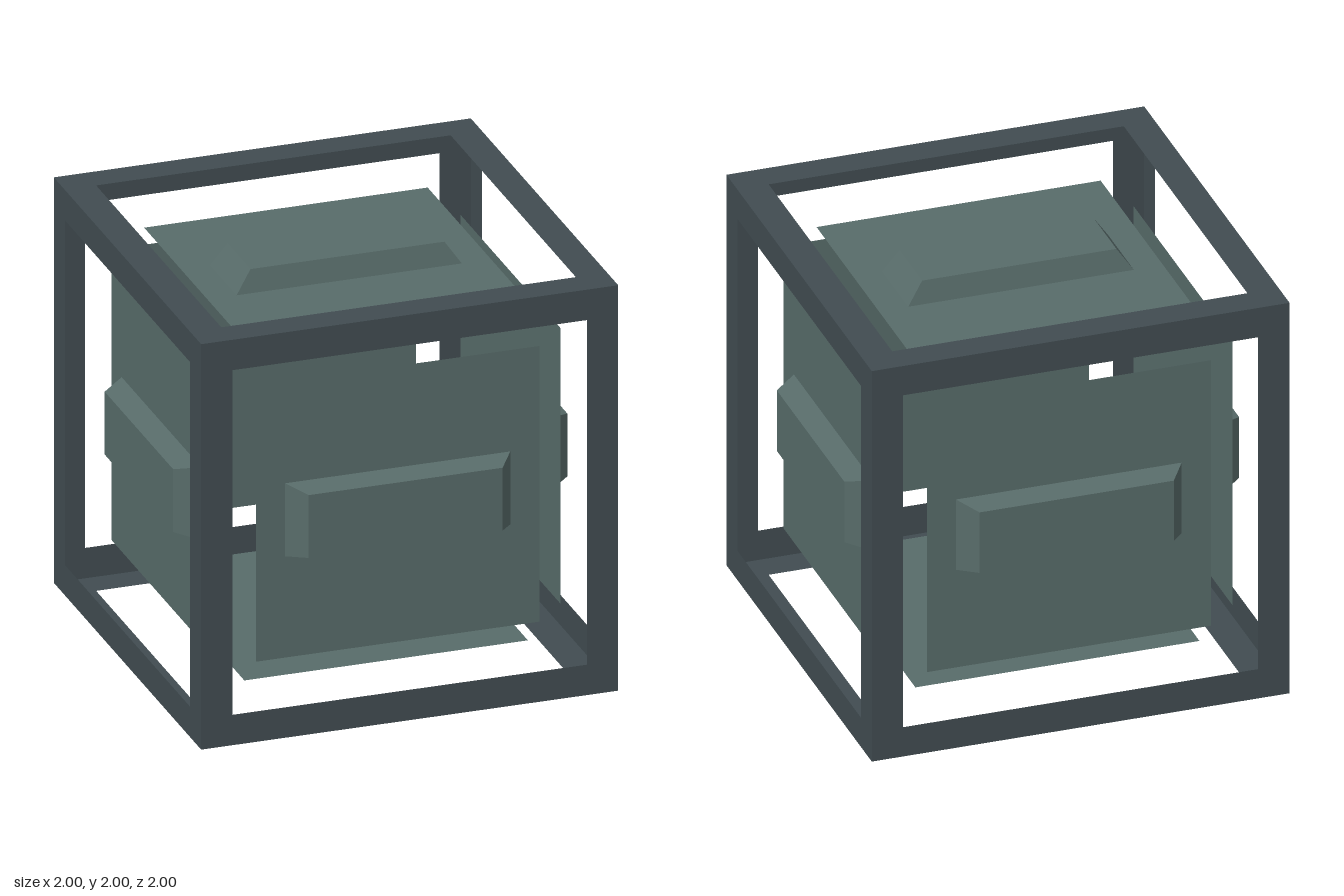
import * as THREE from 'three';

const frameMat = new THREE.MeshStandardMaterial({ color: 0x414c51, side: THREE.DoubleSide });
frameMat.name = 'dark slate frame';
const panelMat = new THREE.MeshStandardMaterial({ color: 0x586c6a, side: THREE.DoubleSide });
panelMat.name = 'grey green panel';

const FRAME = 1, OPENING = 0.85; // half sizes of the frame sheet and its opening
const PANEL = 0.68, PANEL_Z = 0.837; // half size and distance of the inner panels
const RIDGE_TOP = 0.945;

// Flat square border
function frameGeometry() {
  const square = (Path, s) => {
    const p = new Path();
    p.moveTo(-s, -s).lineTo(s, -s).lineTo(s, s).lineTo(-s, s).closePath();
    return p;
  };
  const shape = square(THREE.Shape, FRAME);
  shape.holes.push(square(THREE.Path, OPENING));
  return new THREE.ShapeGeometry(shape).translate(0, 0, FRAME);
}

// Raised bar with sloping sides, open where it meets the panel
function ridgeGeometry() {
  const height = RIDGE_TOP - PANEL_Z;
  const geo = new THREE.BoxGeometry(1.08, 0.36, height);
  const pos = geo.attributes.position;
  for (let i = 0; i < pos.count; i++) {
    if (pos.getZ(i) > 0) pos.setXY(i, Math.sign(pos.getX(i)) * 0.465, Math.sign(pos.getY(i)) * 0.155);
  }
  geo.setIndex(Array.from(geo.index.array).slice(0, 30)); // drop the back face
  geo.clearGroups();
  geo.computeVertexNormals();
  return geo.translate(0, 0, PANEL_Z + height / 2);
}

export function createModel() {
  const model = new THREE.Group();
  model.name = 'framedCube';
  const parts = [
    ['Frame', frameGeometry(), frameMat],
    ['Panel', new THREE.PlaneGeometry(PANEL * 2, PANEL * 2).translate(0, 0, PANEL_Z), panelMat],
    ['Ridge', ridgeGeometry(), panelMat],
  ];
  const q = Math.PI / 2;
  const sides = { front: [0, 0], left: [0, q], back: [0, 2 * q], right: [0, -q], top: [-q, 0], bottom: [q, 0] };

  // The same border, panel and ridge on all six sides
  for (const [name, [rx, ry]] of Object.entries(sides)) {
    const side = new THREE.Group();
    side.name = name + 'Side';
    for (const [part, geometry, material] of parts) {
      const mesh = new THREE.Mesh(geometry, material);
      mesh.name = name + part;
      side.add(mesh);
    }
    side.rotation.set(rx, ry, 0);
    side.position.y = 1;
    model.add(side);
  }
  return model;
}
